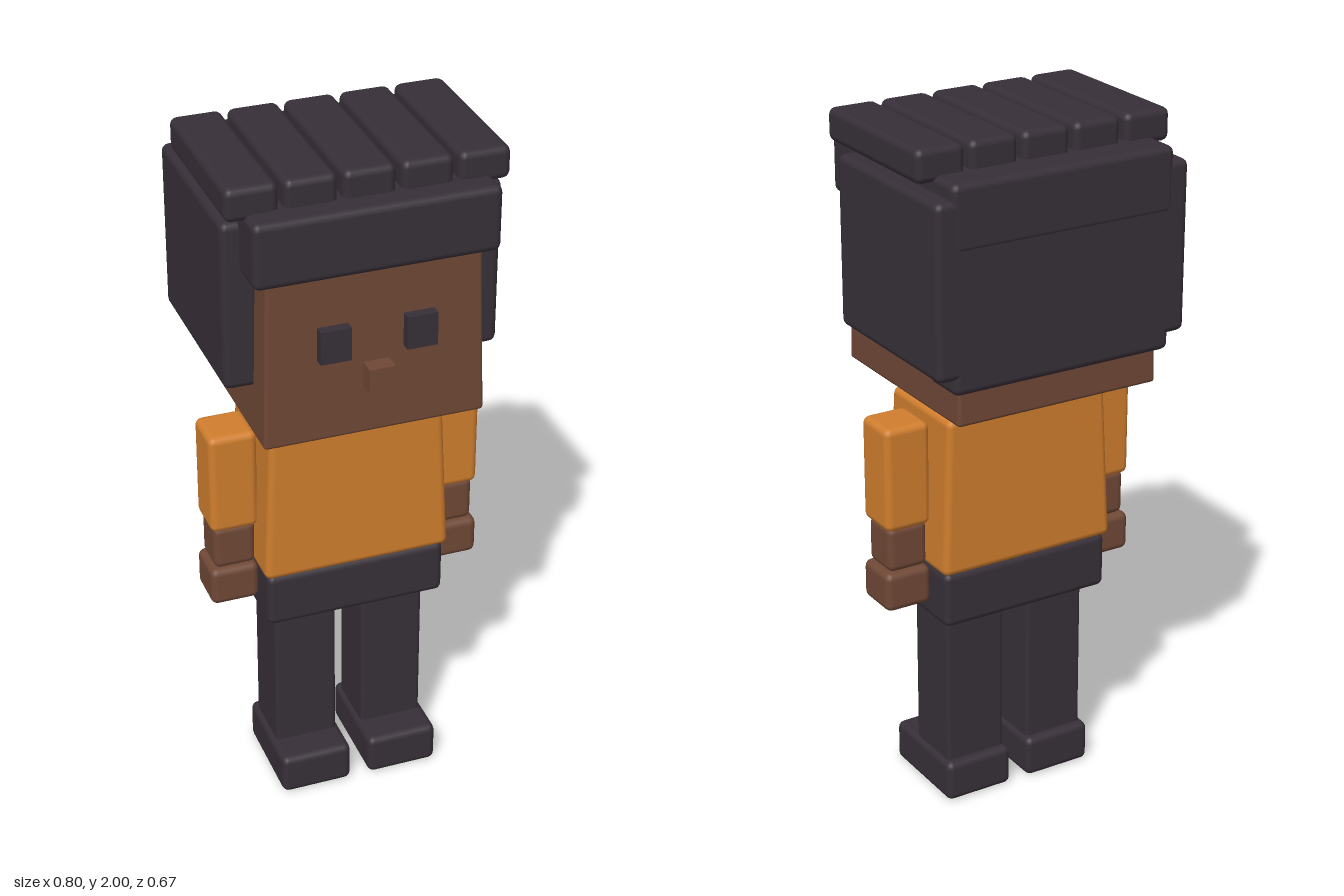
import * as THREE from 'three';
import { RoundedBoxGeometry } from 'three/addons/geometries/RoundedBoxGeometry.js';

const material = (name, color) => {
  const m = new THREE.MeshStandardMaterial({ color });
  m.name = name;
  return m;
};

export function createModel() {
  const model = new THREE.Group();
  model.name = 'blockFigure';
  const dark = material('charcoal', 0x372f38);
  const skin = material('brownSkin', 0x6f4836);
  const orange = material('orangeCloth', 0xd07e2e);

  // Box between two corners; taper = [x, z] scale at the top relative to the bottom
  function block(name, mat, [x0, x1], [y0, y1], [z0, z1], radius = 0.02, taper = null) {
    const w = x1 - x0, h = y1 - y0, d = z1 - z0;
    const geo = radius > 0
      ? new RoundedBoxGeometry(w, h, d, 2, radius)
      : new THREE.BoxGeometry(w, h, d);
    if (taper) {
      const p = geo.attributes.position;
      for (let i = 0; i < p.count; i++) {
        const t = p.getY(i) / h + 0.5;
        p.setX(i, p.getX(i) * (1 + (taper[0] - 1) * t));
        p.setZ(i, p.getZ(i) * (1 + (taper[1] - 1) * t));
      }
    }
    const mesh = new THREE.Mesh(geo, mat);
    mesh.name = name;
    mesh.position.set((x0 + x1) / 2, (y0 + y1) / 2, (z0 + z1) / 2);
    model.add(mesh);
  }

  // The same box on the left (+x) and right (-x)
  function pair(name, mat, [x0, x1], y, z, radius) {
    block('left' + name, mat, [x0, x1], y, z, radius);
    block('right' + name, mat, [-x1, -x0], y, z, radius);
  }

  // Legs and hips
  pair('Shoe', dark, [0.028, 0.238], [0, 0.122], [-0.117, 0.19]);
  pair('Leg', dark, [0.04, 0.224], [0.1, 0.62], [-0.09, 0.09], 0.012);
  block('hips', dark, [-0.262, 0.262], [0.587, 0.75], [-0.153, 0.153]);

  // Torso and neck
  block('torso', orange, [-0.272, 0.272], [0.75, 1.207], [-0.164, 0.164], 0.02, [0.92, 0.95]);
  block('neck', skin, [-0.092, 0.092], [1.17, 1.265], [-0.092, 0.092], 0.01);

  // Arms
  pair('Sleeve', orange, [0.258, 0.396], [0.877, 1.182], [-0.07, 0.07]);
  pair('Forearm', skin, [0.265, 0.386], [0.75, 0.885], [-0.06, 0.06]);
  pair('Hand', skin, [0.26, 0.4], [0.635, 0.75], [-0.07, 0.07]);

  // Head and face
  block('head', skin, [-0.31, 0.31], [1.26, 1.9], [-0.308, 0.287], 0.01, [0.94, 0.955]);
  pair('Eye', dark, [0.077, 0.162], [1.503, 1.598], [0.283, 0.312], 0);
  block('nose', skin, [-0.036, 0.036], [1.403, 1.476], [0.287, 0.335], 0);

  // Hair
  block('hairCap', dark, [-0.336, 0.336], [1.742, 1.927], [-0.336, 0.31]);
  block('backHair', dark, [-0.334, 0.334], [1.358, 1.9], [-0.334, -0.195]);
  pair('SideHair', dark, [0.285, 0.384], [1.403, 1.884], [-0.334, 0.193]);
  for (let i = -2; i <= 2; i++) {
    const x = i * 0.157;
    block('hairRow' + (i + 3), dark, [x - 0.071, x + 0.071], [1.908, 2], [-0.24, 0.24]);
  }
  return model;
}
